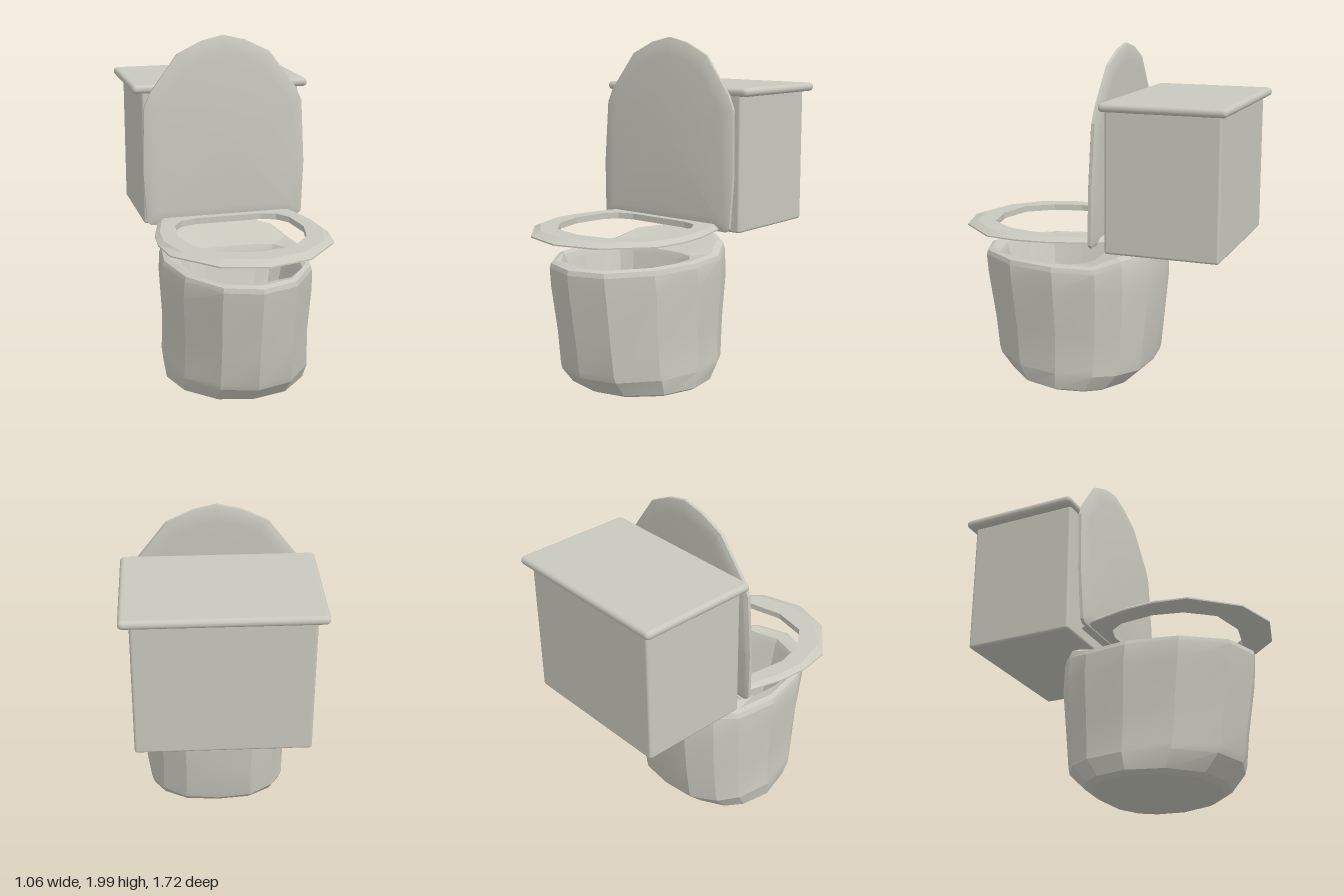
import * as THREE from 'three';
import { toCreasedNormals } from 'three/addons/utils/BufferGeometryUtils.js';
import { RoundedBoxGeometry } from 'three/addons/geometries/RoundedBoxGeometry.js';

// Half outlines as [x, z], from front centre round the +x side to back centre
const BOWL = [[0, .75], [.21, .68], [.375, .45], [.44, .16], [.41, -.09], [.34, -.23], [.2, -.335], [0, -.36]];
const WELL = [[0, .655], [.2, .6], [.31, .47], [.34, .28], [.325, .1], [.27, .03], [.18, 0], [0, 0]];
const SEAT = [[0, .855], [.25, .785], [.465, .55], [.495, .36], [.48, .18], [.42, -.04], [.37, -.135], [0, -.135]];
const SEAT_TOP = [[0, .79], [.23, .73], [.4, .57], [.465, .36], [.45, .18], [.4, -.02], [.35, -.11], [0, -.11]];
const HOLE = [[0, .665], [.21, .62], [.33, .47], [.37, .3], [.345, .1], [.29, .02], [.2, -.01], [0, -.01]];
const LID = [[0, 1.1], [.13, 1.07], [.275, 1], [.44, .78], [.475, .7], [.49, .33], [.475, .02], [.45, 0], [0, 0]];

// Mirrors a half outline into a closed ring, passing each point through place(x, z)
function ring(half, place) {
  const mirrored = half.slice(1, -1).reverse().map(([x, z]) => [-x, z]);
  return [...half, ...mirrored].map(([x, z]) => place(x, z));
}

// Skins a list of rings; caps both ends, or joins last to first when closed
function loft(rings, closed = false, crease = 0.3) {
  const n = rings[0].length, pos = rings.flat(2), idx = [];
  const count = closed ? rings.length : rings.length - 1;
  for (let r = 0; r < count; r++) {
    const a = r * n, b = ((r + 1) % rings.length) * n;
    for (let i = 0; i < n; i++) {
      const j = (i + 1) % n;
      idx.push(a + i, a + j, b + j, a + i, b + j, b + i);
    }
  }
  if (!closed) {
    [0, rings.length - 1].forEach((r, end) => {
      const c = pos.length / 3;
      for (let k = 0; k < 3; k++) pos.push(rings[r].reduce((s, p) => s + p[k], 0) / n);
      for (let i = 0; i < n; i++) {
        const p = r * n + i, q = r * n + (i + 1) % n;
        idx.push(c, end ? p : q, end ? q : p);
      }
    });
  }
  const g = new THREE.BufferGeometry();
  g.setAttribute('position', new THREE.Float32BufferAttribute(pos, 3));
  g.setIndex(idx);
  return toCreasedNormals(g, crease);
}

export function createModel() {
  const ceramic = new THREE.MeshStandardMaterial({ color: 0xc9c8bd });
  ceramic.name = 'warm grey ceramic';
  const teal = new THREE.MeshStandardMaterial({ color: 0x6aa3a9 });
  teal.name = 'teal';

  const model = new THREE.Group();
  model.name = 'toilet';
  const add = (name, geometry, material = ceramic) => {
    const mesh = new THREE.Mesh(geometry, material);
    mesh.name = name;
    model.add(mesh);
    return mesh;
  };

  // Bowl: outer wall upward, over the raised back rim, then down into the well
  const outer = (y, width, front, back, lift = 0) => ring(BOWL, (x, z) => [
    x * width / .44,
    y + lift * THREE.MathUtils.smoothstep(-z, .1, .3),
    back + (z + .36) / 1.11 * (front - back),
  ]);
  const well = (y, s) => ring(WELL, (x, z) => [x * s, y, .3 + (z - .3) * s]);
  add('bowl', loft([
    outer(.005, .385, .53, -.17),
    outer(.025, .42, .57, -.205),
    outer(.12, .435, .66, -.305),
    outer(.16, .43, .675, -.315),
    outer(.35, .425, .70, -.335),
    outer(.62, .44, .745, -.36),
    outer(.73, .435, .757, -.355, .05),
    outer(.757, .425, .75, -.345, .065),
    outer(.768, .395, .72, -.3, .07),
    well(.755, 1), well(.72, .95), well(.52, .82), well(.36, .6), well(.3, .35),
  ]));

  // Seat: thin ring with a bevelled outer edge
  const flat = (half, y) => ring(half, (x, z) => [x, y, z]);
  add('seat', loft([
    flat(SEAT_TOP, .906), flat(SEAT, .912), flat(SEAT, .92), flat(SEAT_TOP, .942),
    flat(HOLE, .942), flat(HOLE, .906),
  ], true));

  // Open lid: bevelled panel, stood up and leaning back
  const panel = (t, s) => ring(LID, (x, z) => [x * s, t, .5 + (z - .5) * s]);
  const lidGeometry = loft([
    panel(-.026, .84), panel(-.02, .94), panel(-.008, 1),
    panel(.01, 1), panel(.02, .95), panel(.024, .85),
  ]);
  lidGeometry.rotateX(-Math.PI / 2 - .037);
  add('lid', lidGeometry).position.set(0, .9, -.08);

  // Tank and its overhanging cover
  add('tank', new RoundedBoxGeometry(.95, .8, .65, 2, .015)).position.set(0, 1.28, -.495);
  add('tankCover', new RoundedBoxGeometry(1.06, .05, .71, 3, .024)).position.set(0, 1.695, -.505);

  // Swirled mound in the well: stacked soft tiers, wandering slightly off axis
  const profile = [[.13, 0], [.175, .025], [.18, .06], [.15, .09], [.115, .1], [.12, .125],
    [.1, .15], [.065, .16], [.068, .18], [.05, .2], [.028, .21], [.02, .235], [0.001, .25]]
    .map(([r, y]) => new THREE.Vector2(r, y));
  const mound = new THREE.LatheGeometry(profile, 16);
  const p = mound.attributes.position;
  for (let i = 0; i < p.count; i++) {
    const y = p.getY(i), angle = Math.atan2(p.getZ(i), p.getX(i));
    const lump = 1 + .04 * Math.sin(3 * angle + y * 30);
    p.setXYZ(i, p.getX(i) * lump + .012 * Math.sin(y * 30), y, p.getZ(i) * lump - .1 * y);
  }
  mound.computeVertexNormals();
  add('mound', mound, teal).position.set(0, .28, .275);

  return model;
}
